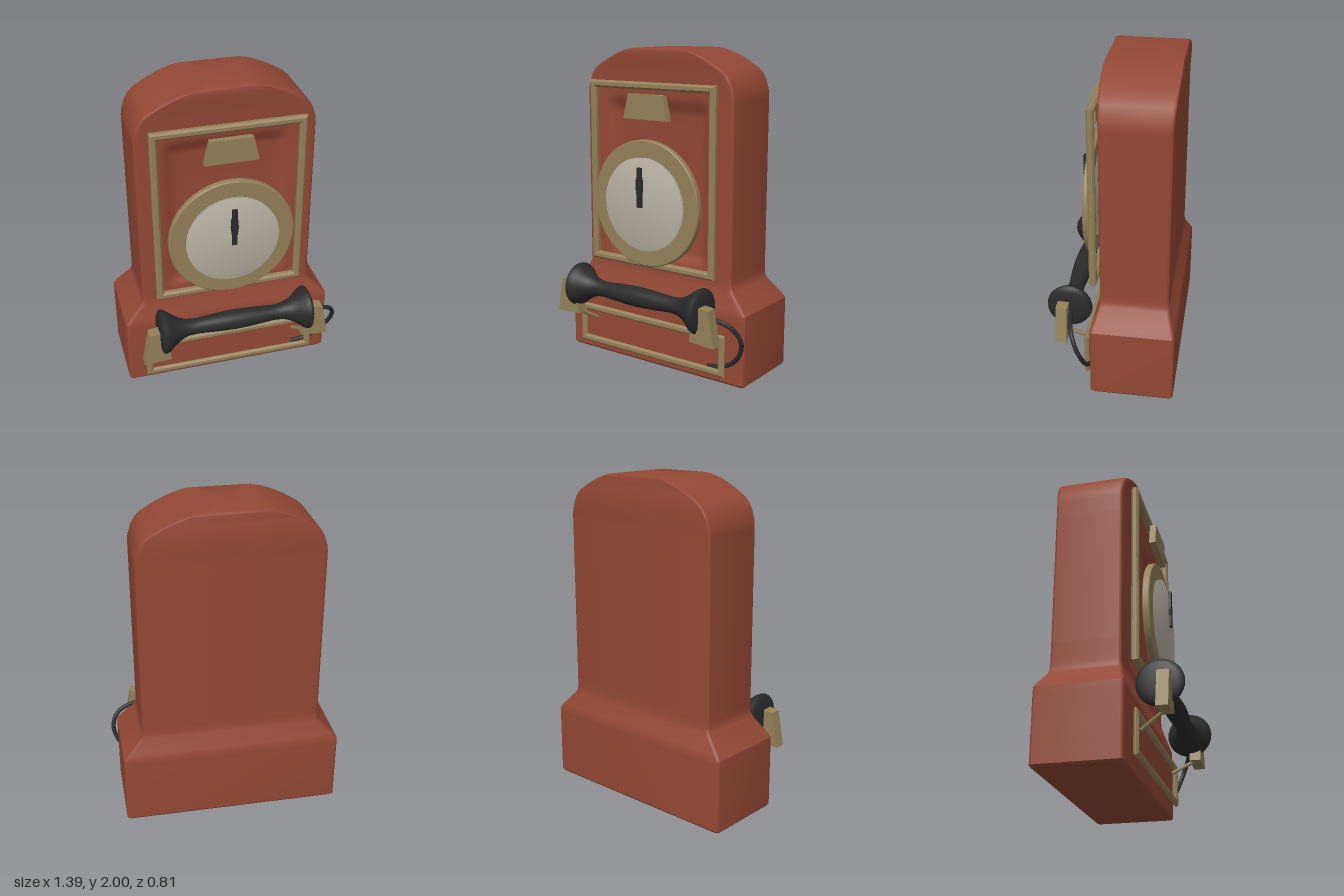
import * as THREE from 'three';
import { toCreasedNormals } from 'three/addons/utils/BufferGeometryUtils.js';

const CX = -0.02; // symmetry axis of the telephone

const mat = (name, color) => {
  const m = new THREE.MeshStandardMaterial({ color });
  m.name = name;
  return m;
};

const smooth = (a, b, t) => THREE.MathUtils.smoothstep(t, a, b);

// Casing: rounded rectangular rings stacked in y, with a soft recess in the front
function casingGeometry() {
  // y, half width, front z, back z
  const rows = [
    [0, 0.665, 0.1, -0.39], [0.012, 0.675, 0.11, -0.4], [0.42, 0.675, 0.11, -0.4],
    [0.45, 0.674, 0.109, -0.398], [0.48, 0.65, 0.1, -0.39], [0.57, 0.565, 0.071, -0.357],
    [0.595, 0.552, 0.066, -0.352], [0.63, 0.55, 0.065, -0.35],
  ];
  for (let i = 0; i <= 6; i++) rows.push([0.67 + i * 0.015, 0.55, 0.065, -0.35]);
  for (let i = 0; i <= 8; i++) rows.push([1.6 + i * 0.0145, 0.55, 0.065, -0.35]);
  rows.push(
    [1.75, 0.546, 0.067, -0.352], [1.81, 0.526, 0.07, -0.356], [1.85, 0.503, 0.072, -0.358],
    [1.88, 0.472, 0.074, -0.36], [1.925, 0.395, 0.077, -0.362], [1.96, 0.32, 0.08, -0.365],
    [1.985, 0.25, 0.08, -0.365], [1.996, 0.205, 0.076, -0.361], [2, 0.165, 0.068, -0.353],
  );
  const r = 0.018;
  const ringOf = ([y, hw, zf, zb]) => {
    const ring = [];
    const corner = (sx, z, dir, start) => {
      for (let k = 0; k <= 3; k++) {
        const a = start + (k / 3) * Math.PI / 2;
        ring.push([CX + sx * (hw - r) + Math.cos(a) * r, y, z + dir * r - Math.sin(a) * r]);
      }
    };
    corner(-1, zf, -1, Math.PI);
    for (let k = 1; k < 40; k++) {
      const x = (k / 20 - 1) * (hw - r);
      const depth = 0.035 * (1 - smooth(0.3, 0.41, Math.abs(x))) *
        smooth(0.67, 0.76, y) * (1 - smooth(1.6, 1.715, y));
      ring.push([CX + x, y, zf - depth]);
    }
    corner(1, zf, -1, Math.PI * 1.5);
    corner(1, zb, 1, 0);
    corner(-1, zb, 1, Math.PI / 2);
    return ring;
  };
  const rings = rows.map(ringOf);
  const n = rings[0].length, top = rings.length - 1;
  const pos = rings.flat(2), idx = [];
  for (let i = 0; i < top; i++) {
    for (let j = 0; j < n; j++) {
      const a = i * n + j, b = i * n + (j + 1) % n;
      idx.push(a, b, b + n, a, b + n, a + n);
    }
  }
  pos.push(CX, 0, -0.145, CX, 2, -0.145);
  const c = rings.length * n;
  for (let j = 0; j < n; j++) {
    const k = (j + 1) % n;
    idx.push(c, k, j, c + 1, top * n + j, top * n + k);
  }
  const g = new THREE.BufferGeometry();
  g.setAttribute('position', new THREE.Float32BufferAttribute(pos, 3));
  g.setIndex(idx);
  return toCreasedNormals(g, 0.6);
}

const polygon = (pts) => new THREE.Shape(pts.map(([x, y]) => new THREE.Vector2(x, y)));

const rect = (x0, x1, y0, y1) => [[x0, y0], [x1, y0], [x1, y1], [x0, y1]];

// Extrude a shape between two z values, with an optional chamfer
function slab(shape, z0, z1, bevel = 0) {
  const g = new THREE.ExtrudeGeometry(shape, {
    depth: z1 - z0 - 2 * bevel, curveSegments: 40, bevelEnabled: bevel > 0,
    bevelThickness: bevel, bevelSize: bevel, bevelOffset: -bevel, bevelSegments: 1,
  });
  return g.translate(0, 0, z0 + bevel);
}

function frame(x0, x1, y0, y1, z0, z1, width) {
  const s = polygon(rect(x0, x1, y0, y1));
  s.holes.push(polygon(rect(x0 + width, x1 - width, y0 + width, y1 - width)));
  return slab(s, z0, z1, 0.012);
}

const lathe = (pts, seg) =>
  new THREE.LatheGeometry(pts.map(([x, y]) => new THREE.Vector2(x, y)), seg);

export function createModel() {
  const model = new THREE.Group();
  const red = mat('brick red', 0x944835);
  const gold = mat('dull brass', 0x94815a);
  const black = mat('black', 0x2b2b2b);
  const silver = mat('warm silver', 0xbab2a4);
  const add = (name, geometry, material) => {
    const m = new THREE.Mesh(geometry, material);
    m.name = name;
    model.add(m);
    return m;
  };

  add('casing', casingGeometry(), red);

  // Brass trim
  add('upperFrame', frame(-0.49, 0.45, 0.645, 1.8, 0.1, 0.145, 0.045), gold);
  add('lowerFrame', frame(-0.585, 0.545, 0.06, 0.325, 0.135, 0.165, 0.045), gold);
  add('topPlate', slab(polygon([
    [CX - 0.165, 1.58], [CX + 0.165, 1.58], [CX + 0.13, 1.73], [CX - 0.13, 1.73],
  ]), 0.145, 0.185), gold);

  // Dial with ring and pointer
  const ring = new THREE.Shape().absarc(0, 0, 0.393, 0, Math.PI * 2);
  ring.holes.push(new THREE.Path().absarc(0, 0, 0.285, 0, Math.PI * 2, true));
  add('dialRing', toCreasedNormals(slab(ring, 0.148, 0.192, 0.006), 0.5), gold)
    .position.set(CX, 1.065, 0);
  const dial = add('dial',
    lathe([[0, 0], [0.288, 0], [0.29, 0.06], [0, 0.066]], 48), silver);
  dial.rotation.x = Math.PI / 2;
  dial.position.set(CX, 1.065, 0.152);
  add('pointer', slab(polygon([
    [-0.016, 1.053], [0.016, 1.053], [0.016, 1.12], [0.023, 1.17], [0.021, 1.22], [0.016, 1.24],
    [0.016, 1.297], [-0.016, 1.297], [-0.016, 1.24], [-0.021, 1.22], [-0.023, 1.17], [-0.016, 1.12],
  ]), 0.235, 0.251), black).position.x = CX;

  // Handset: one half profile mirrored along its axis
  const half = [
    [0.063, 0], [0.061, 0.08], [0.056, 0.16], [0.049, 0.25], [0.053, 0.31], [0.07, 0.36],
    [0.1, 0.405], [0.128, 0.44], [0.14, 0.465], [0.136, 0.48], [0.11, 0.493], [0.06, 0.499], [0, 0.5],
  ];
  const profile = [...half.slice(1).reverse().map(([r, y]) => [r, -y]), ...half];
  const handset = add('handset', lathe(profile, 32), black);
  handset.rotation.z = -Math.PI / 2;
  handset.position.set(CX, 0.493, 0.265);

  // Cradle plates and the rods that carry them
  for (const side of [-1, 1]) {
    const name = side > 0 ? 'left' : 'right';
    const pts = [[0.43, 0.318], [0.605, 0.308], [0.563, 0.53], [0.47, 0.54]]
      .map(([x, y]) => [CX + side * x, y]);
    add(name + 'CradlePlate', slab(polygon(pts), 0.265, 0.335), gold);
    const rod = new THREE.LineCurve3(
      new THREE.Vector3(CX + side * 0.475, 0.325, 0.29),
      new THREE.Vector3(CX + side * 0.43, 0.24, 0.15));
    add(name + 'CradleRod', new THREE.TubeGeometry(rod, 1, 0.012, 8), gold);
  }

  // Cord from the handset to the base
  const cord = new THREE.CatmullRomCurve3([
    [0.46, 0.46, 0.255], [0.55, 0.45, 0.245], [0.64, 0.41, 0.22], [0.678, 0.33, 0.185],
    [0.655, 0.24, 0.155], [0.59, 0.16, 0.137], [0.5, 0.115, 0.128], [0.41, 0.1, 0.125],
  ].map((p) => new THREE.Vector3(...p)));
  add('cord', new THREE.TubeGeometry(cord, 48, 0.014, 10), black);

  return model;
}
